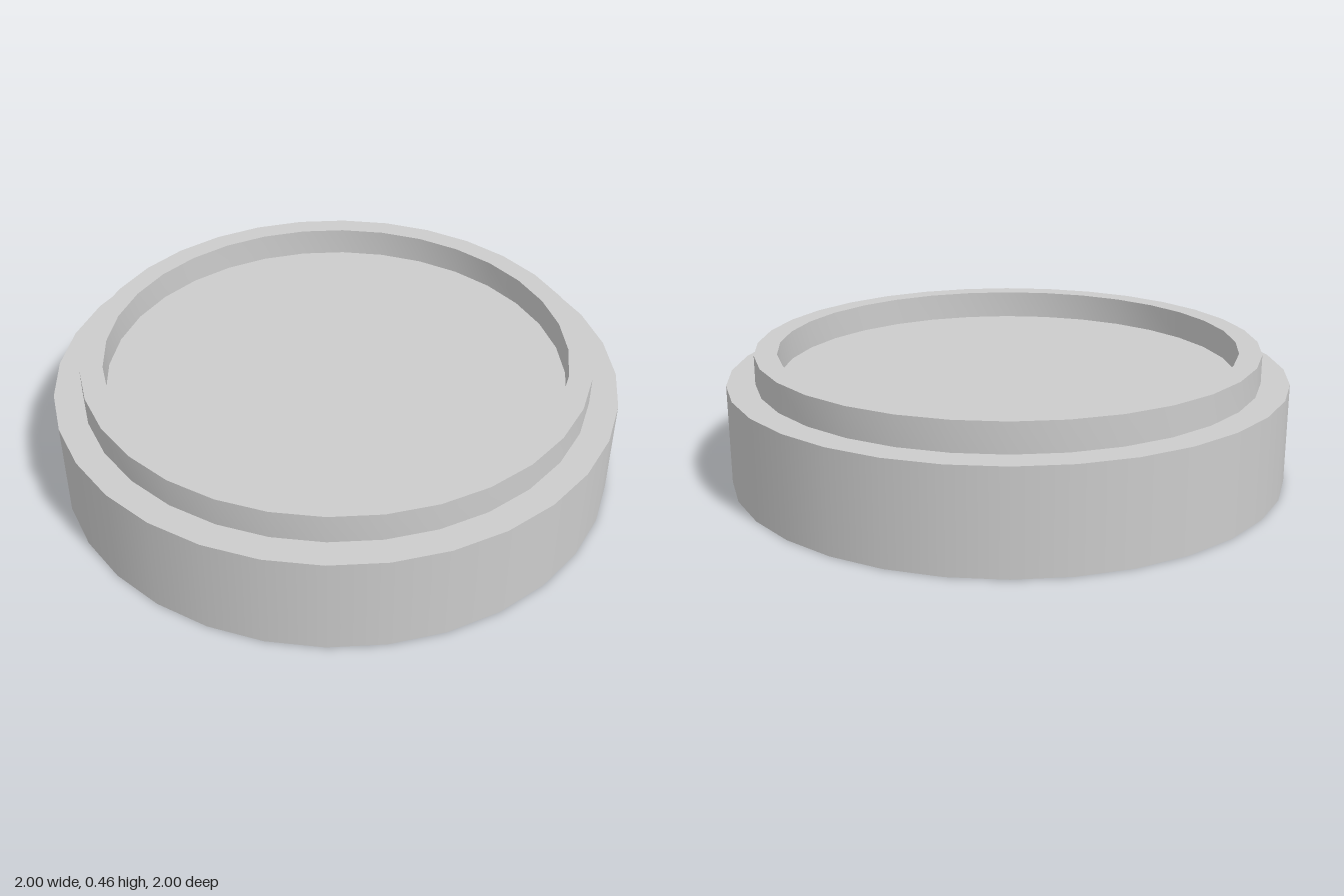
import * as THREE from 'three';
import { toCreasedNormals } from 'three/addons/utils/BufferGeometryUtils.js';

const SIDES = 32;
const BASE_HEIGHT = 0.357;
const TOTAL_HEIGHT = 0.46;

export function createModel() {
  const model = new THREE.Group();
  model.name = 'roundLid';
  const material = new THREE.MeshStandardMaterial({ color: 0xcccccc });

  // Solid disc; its top is both the outer ledge and the recessed floor
  const baseGeometry = new THREE.CylinderGeometry(1, 1, BASE_HEIGHT, SIDES);
  baseGeometry.translate(0, BASE_HEIGHT / 2, 0);
  const base = new THREE.Mesh(baseGeometry, material);
  base.name = 'base';

  // Raised ring: outer wall, flat top, inner wall
  const profile = [
    [0.9, BASE_HEIGHT],
    [0.9, TOTAL_HEIGHT],
    [0.82, TOTAL_HEIGHT],
    [0.82, BASE_HEIGHT],
  ].map(([r, y]) => new THREE.Vector2(r, y));
  const rimGeometry = toCreasedNormals(new THREE.LatheGeometry(profile, SIDES), Math.PI / 6);
  const rim = new THREE.Mesh(rimGeometry, material);
  rim.name = 'raisedRim';

  model.add(base, rim);
  return model;
}
